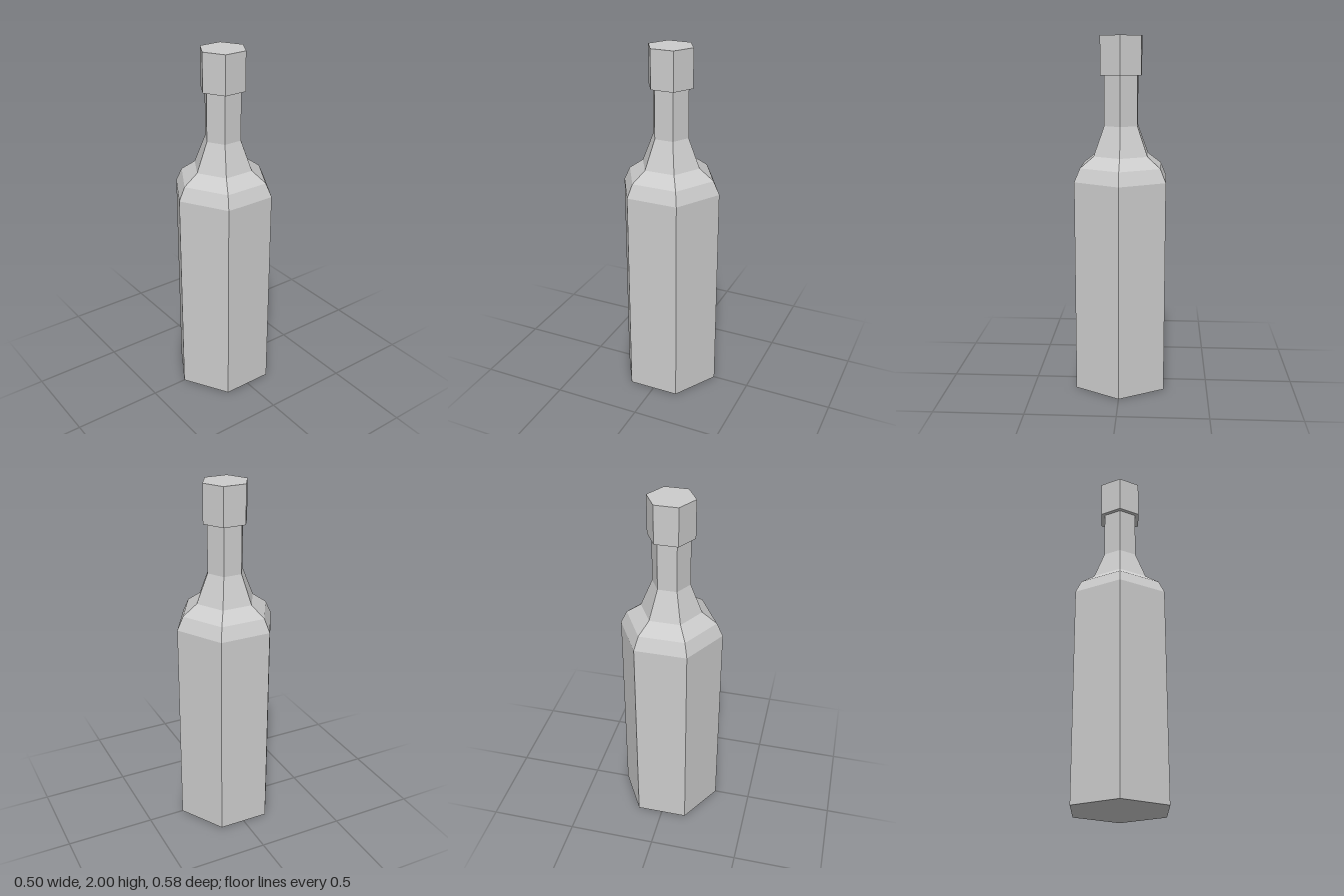
import * as THREE from 'three';

const SIDES = 6;

// Turns a [radius, height] profile, listed bottom to top, into a faceted part
function facetedPart(name, profile, material) {
  const points = profile.map(([r, y]) => new THREE.Vector2(r, y));
  const geometry = new THREE.LatheGeometry(points, SIDES).toNonIndexed();
  geometry.computeVertexNormals();
  const mesh = new THREE.Mesh(geometry, material);
  mesh.name = name;
  return mesh;
}

export function createModel() {
  const group = new THREE.Group();
  group.name = 'bottle';
  const material = new THREE.MeshStandardMaterial({ color: 0xcccccc, flatShading: true });

  // Body with flat base, two-step shoulder, tapering into the neck
  group.add(facetedPart('bottleBody', [
    [0, 0],
    [0.291, 0],
    [0.291, 1.21],
    [0.255, 1.285],
    [0.172, 1.345],
    [0.106, 1.51],
    [0.106, 1.785],
  ], material));

  // Cap overhanging the neck, with a lip underneath
  group.add(facetedPart('cap', [
    [0.106, 1.785],
    [0.13, 1.785],
    [0.13, 2],
    [0, 2],
  ], material));

  return group;
}
